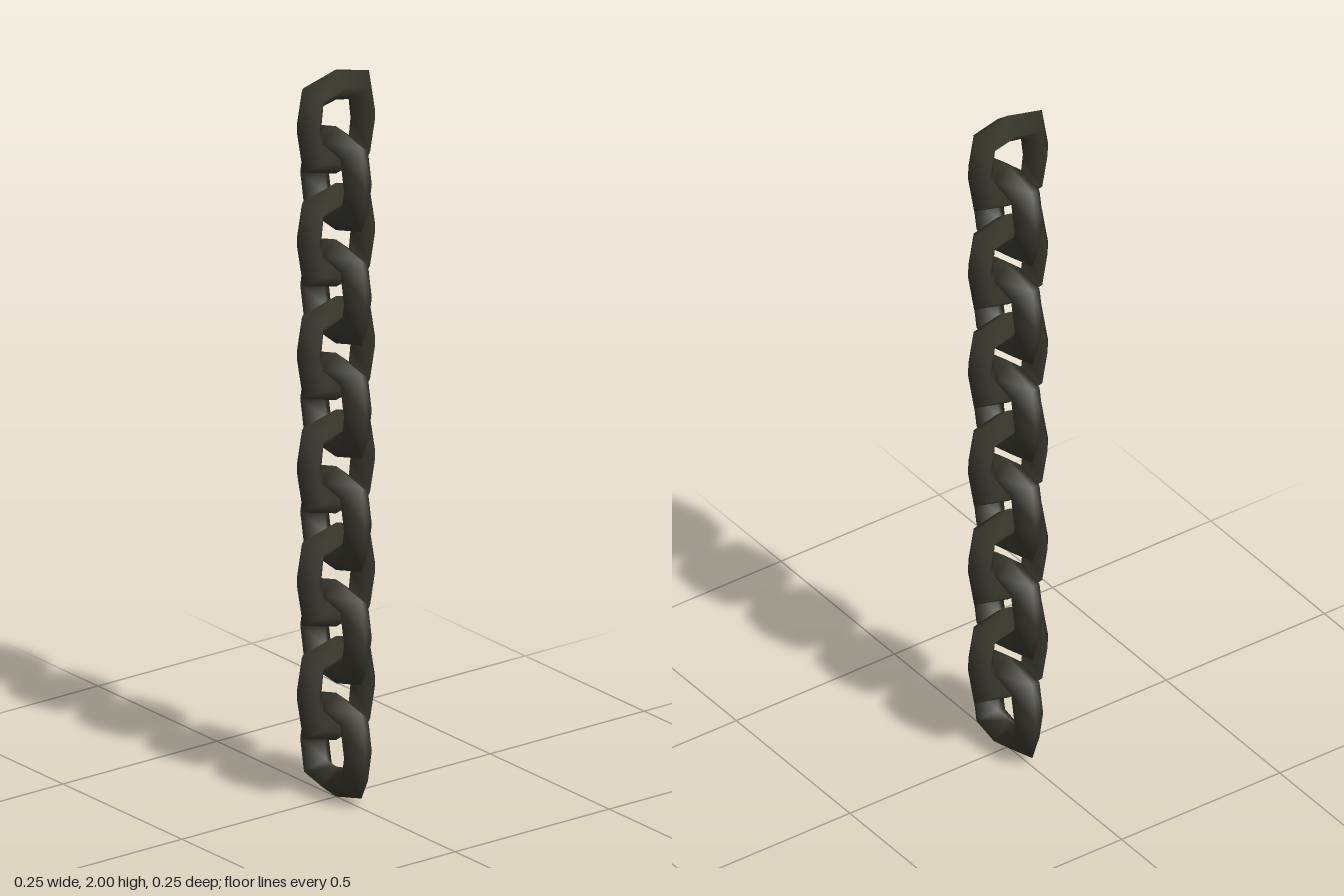
import * as THREE from 'three';

const LINKS = 12;
const HALF_HEIGHT = 0.143;
const PITCH = (2 - 2 * HALF_HEIGHT) / (LINKS - 1);
const HALF_DEPTH = 0.045;

// Each rail is an eight-sided loop, given by its side, corner and end points
const OUTER = { side: 0.127, corner: [0.107, 0.116], end: HALF_HEIGHT };
const MIDDLE = { side: 0.092, corner: [0.076, 0.087], end: 0.106 };
const INNER = { side: 0.047, corner: [0.041, 0.052], end: 0.06 };

function loopPoints({ side, corner: [cx, cy], end }) {
  return [[side, 0], [cx, cy], [0, end], [-cx, cy], [-side, 0], [-cx, -cy], [0, -end], [cx, -cy]];
}

// Closed link with a diamond cross-section, smooth shaded
function linkGeometry() {
  const rails = [[OUTER, 0], [MIDDLE, HALF_DEPTH], [INNER, 0], [MIDDLE, -HALF_DEPTH]]
    .map(([rail, z]) => loopPoints(rail).map(([x, y]) => [x, y, z]));
  const steps = rails[0].length;
  const sides = rails.length;
  const positions = [];
  const indices = [];
  for (let i = 0; i < steps; i++) {
    for (let j = 0; j < sides; j++) {
      positions.push(...rails[j][i]);
      const i2 = (i + 1) % steps;
      const j2 = (j + 1) % sides;
      const a = i * sides + j;
      const b = i2 * sides + j;
      const c = i2 * sides + j2;
      const d = i * sides + j2;
      indices.push(a, b, c, a, c, d);
    }
  }
  const geometry = new THREE.BufferGeometry();
  geometry.setAttribute('position', new THREE.Float32BufferAttribute(positions, 3));
  geometry.setIndex(indices);
  geometry.computeVertexNormals();
  return geometry;
}

export function createModel() {
  const chain = new THREE.Group();
  chain.name = 'chain';
  const darkIron = new THREE.MeshStandardMaterial({ color: 0x38372d });
  darkIron.name = 'darkIron';
  const geometry = linkGeometry();

  // Links hang from the top, every second one turned a quarter
  for (let i = 0; i < LINKS; i++) {
    const link = new THREE.Mesh(geometry, darkIron);
    link.name = `link${i + 1}`;
    link.position.y = 2 - HALF_HEIGHT - i * PITCH;
    link.rotation.y = (i % 2) * Math.PI / 2;
    chain.add(link);
  }
  return chain;
}
